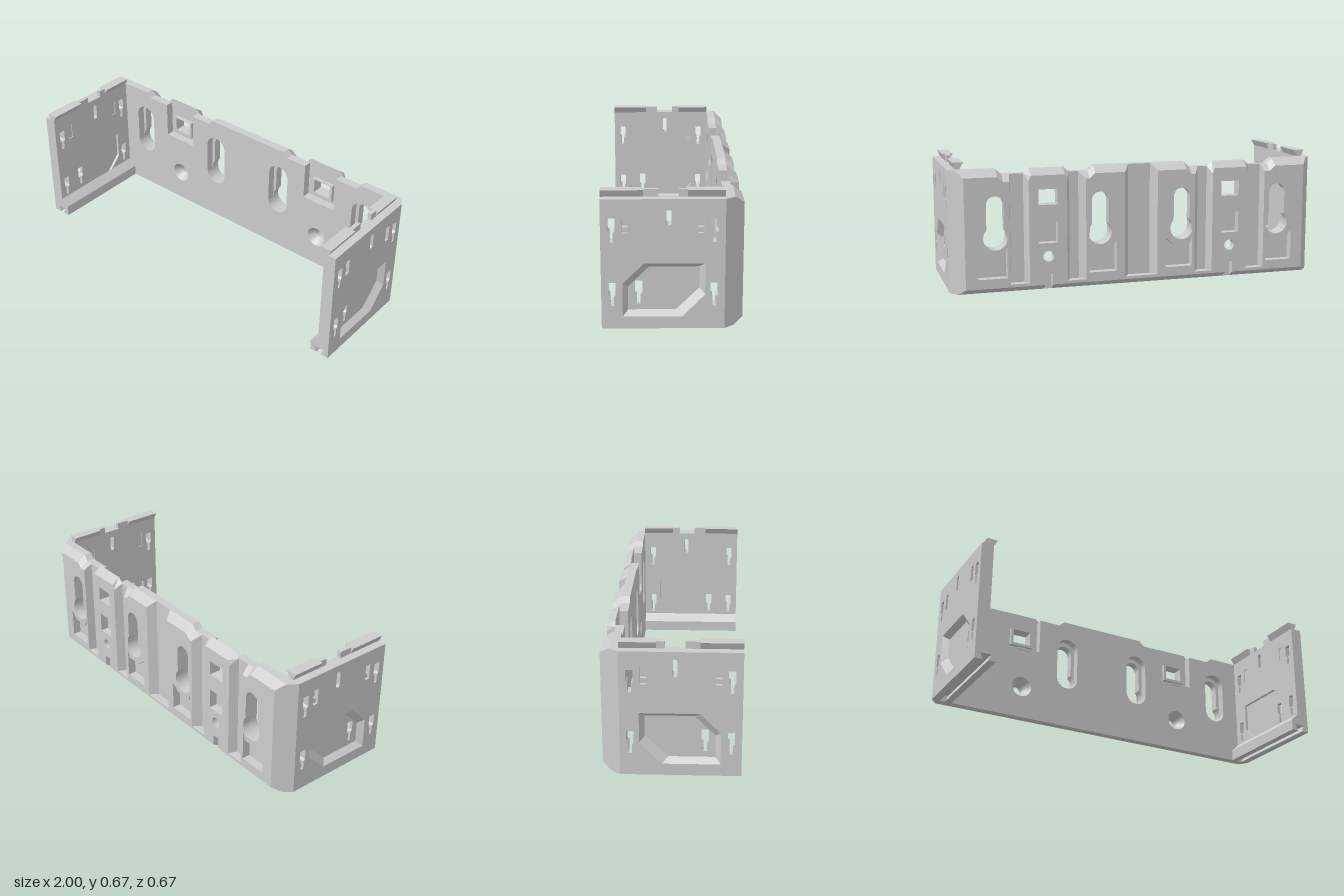
import * as THREE from 'three';

const material = new THREE.MeshStandardMaterial({ color: 0xcccccc, flatShading: true, side: THREE.DoubleSide });
const poly = (pts, Type = THREE.Shape) => new Type(pts.map(p => new THREE.Vector2(p[0], p[1])));
const hole = pts => poly(pts, THREE.Path);
const rectHole = (x0, y0, x1, y1) => hole([[x0, y0], [x1, y0], [x1, y1], [x0, y1]]);
const arc = (cx, cy, r, a0, a1, n = 14) => Array.from({ length: n + 1 }, (_, i) => {
  const a = a0 + (a1 - a0) * i / n;
  return [cx + r * Math.cos(a), cy + r * Math.sin(a)];
});
const circleHole = (x, y, r) => hole(arc(x, y, r, 0, Math.PI * 2, 28).slice(0, -1));
const capsuleHole = (c, y0, y1, r) =>
  hole([...arc(c, y1 - r, r, 0, Math.PI), ...arc(c, y0 + r, r, Math.PI, Math.PI * 2)]);

// Slot that opens into a larger circle at its lower end
function keyhole(c) {
  const r = 0.063, s = 0.045, y = 0.29, a = Math.acos(s / r);
  return hole([...arc(c, 0.46, s, 0, Math.PI), ...arc(c, y, r, Math.PI - a, Math.PI * 2 + a, 22)]);
}
// Wide slot with a narrow tail
const tailSlot = (u, y) => hole([[u - 0.0085, y], [u + 0.0085, y], [u + 0.0085, y + 0.045], [u + 0.0175, y + 0.055],
  [u + 0.0175, y + 0.115], [u - 0.0175, y + 0.115], [u - 0.0175, y + 0.055], [u - 0.0085, y + 0.045]]);

function extrude(shape, holes, depth, z) {
  shape.holes.push(...holes);
  return new THREE.ExtrudeGeometry(shape, { depth, bevelEnabled: false }).translate(0, 0, z);
}
// Applies move(v) to the vertices lying on the back face z
function moveBack(geo, z, move) {
  const p = geo.attributes.position, v = new THREE.Vector3();
  for (let i = 0; i < p.count; i++) {
    v.fromBufferAttribute(p, i);
    if (Math.abs(v.z - z) < 1e-4) { move(v); p.setXYZ(i, v.x, v.y, v.z); }
  }
  return geo;
}
// Rear pad with sloped sides and chamfered top and bottom
function pad(outline, s0, s1, holes) {
  const xs = outline.map(p => p[0]), x0 = Math.min(...xs), x1 = Math.max(...xs), Z = -0.335;
  return moveBack(extrude(poly(outline), holes, 0.045, Z), Z, v => {
    if (v.x < x0 + 1e-4) v.x += s0; else if (v.x > x1 - 1e-4) v.x -= s1;
    if (v.y > 0.6) v.y -= 0.035; else if (v.y < 0.001) v.y += 0.03;
  });
}
// Profile in side coordinates (u = -z, y), pushed along x
const sideways = (shape, holes, depth, x) => extrude(shape, holes, depth, x).rotateY(Math.PI / 2);

// Reflects a geometry across x = 0 and keeps faces outward
function mirrored(geo) {
  const g = geo.index ? geo.toNonIndexed() : geo.clone(), p = g.attributes.position;
  const a = new THREE.Vector3(), b = new THREE.Vector3(), c = new THREE.Vector3();
  for (let i = 0; i < p.count; i += 3) {
    a.fromBufferAttribute(p, i); b.fromBufferAttribute(p, i + 1); c.fromBufferAttribute(p, i + 2);
    p.setXYZ(i, -a.x, a.y, a.z); p.setXYZ(i + 1, -c.x, c.y, c.z); p.setXYZ(i + 2, -b.x, b.y, b.z);
  }
  g.computeVertexNormals();
  return g;
}

export function createModel() {
  const group = new THREE.Group();
  const both = (name, geo) => {
    [[geo, 'Left'], [mirrored(geo), 'Right']].forEach(([g, side]) => {
      const mesh = new THREE.Mesh(g, material);
      mesh.name = name + side;
      group.add(mesh);
    });
  };
  const box = (x0, x1, y0, y1, z0, z1) => new THREE.BoxGeometry(x1 - x0, y1 - y0, z1 - z0)
    .translate((x0 + x1) / 2, (y0 + y1) / 2, (z0 + z1) / 2);

  // Back plate with slot recesses, clip notch and countersunk screw hole
  const plate = extrude(poly([[0, 0], [1, 0], [1, 0.637], [0.76, 0.637], [0.73, 0.61], [0.6, 0.61], [0.6, 0.41],
    [0.4, 0.41], [0.4, 0.61], [0.28, 0.61], [0.25, 0.637], [0, 0.637]]),
  [capsuleHole(0.225, 0.227, 0.53, 0.0635), capsuleHole(0.775, 0.227, 0.53, 0.0635), circleHole(0.5, 0.18, 0.057)], 0.045, -0.29);
  both('backPlate', moveBack(plate, -0.29, v => {
    if (v.x > 0.99) v.x -= 0.035;
    const dx = v.x - 0.5, dy = v.y - 0.18;
    if (Math.hypot(dx, dy) < 0.06) { v.x = 0.5 + dx * 0.5; v.y = 0.18 + dy * 0.5; }
  }));

  // Rear pads: pocketed ones round the keyholes, a narrow one behind each clip
  const pocket = (c, l, r) => hole([[c - l, 0.08], [c + r, 0.08], [c + r, 0.24], [c + 0.045, 0.2], [c - 0.045, 0.2], [c - l, 0.24]]);
  both('innerPad', pad([[0.06, 0], [0.33, 0], [0.33, 0.61], [0.28, 0.61], [0.25, 0.637], [0.06, 0.637]],
    0.03, 0.03, [keyhole(0.225), pocket(0.225, 0.09, 0.06)]));
  both('outerPad', pad([[0.69, 0], [0.965, 0], [0.965, 0.637], [0.76, 0.637], [0.73, 0.61], [0.69, 0.61]],
    0.01, 0.035, [keyhole(0.775), pocket(0.775, 0.06, 0.09)]));
  both('clipPad', pad([[0.38, 0], [0.48, 0], [0.48, 0.09], [0.52, 0.09], [0.52, 0], [0.62, 0], [0.62, 0.61], [0.59, 0.637], [0.41, 0.637], [0.38, 0.61]],
    0.02, 0.02, [rectHole(0.45, 0.45, 0.55, 0.53), rectHole(0.45, 0.25, 0.55, 0.36), circleHole(0.5, 0.18, 0.0285)]));
  [[0, 0.09], [0.3, 0.4], [0.6, 0.7]].forEach(([a, b]) =>
    both('bottomRim', pad([[a, 0], [b, 0], [b, 0.045], [a, 0.045]], 0, 0, [])));

  // Clip window frame and its small lip
  both('windowFrame', extrude(poly([[0.435, 0.435], [0.565, 0.435], [0.565, 0.535], [0.435, 0.535]]),
    [rectHole(0.45, 0.45, 0.55, 0.53)], 0.02, -0.29));
  both('clipLip', box(0.465, 0.535, 0.4, 0.412, -0.25, -0.24));

  // Side wall with mounting slots and a bevelled pocket
  const outer = [[-0.235, 0.06], [-0.045 + 0.09, 0.06], [0.152, 0.17], [0.152, 0.325], [-0.135, 0.325], [-0.235, 0.225]];
  const inner = [[-0.21, 0.085], [0.015, 0.085], [0.127, 0.195], [0.127, 0.3], [-0.11, 0.3], [-0.21, 0.2]];
  const slots = [];
  for (const u of [-0.285, 0.195]) for (const y of [0.115, 0.43]) slots.push(tailSlot(u, y));
  const latches = [-0.222, 0.13];
  both('sideWall', sideways(poly([[-0.335, 0.045], [0.245, 0.045], [0.245, 0.637], [-0.335, 0.637]]),
    [...slots, capsuleHole(-0.017, 0.51, 0.6, 0.0125), hole(outer),
      ...latches.map(u => rectHole(u - 0.015, 0.473, u + 0.015, 0.558))], 0.065, 0.935).translate(0, 0, 0));
  latches.forEach(u => {
    both('latch', box(0.945, 0.985, 0.473, 0.498, -u - 0.015, -u + 0.015));
    both('latchStep', box(0.945, 0.975, 0.503, 0.552, -u - 0.015, -u + 0.015));
    both('latchBack', box(0.94, 0.96, 0.473, 0.558, -u - 0.015, -u + 0.015));
  });
  both('pocketFloor', sideways(poly(outer), [tailSlot(-0.16, 0.115)], 0.02, 0.95));

  // Sloped rim of the pocket
  const rim = [];
  outer.forEach((o, i) => {
    const j = (i + 1) % outer.length;
    const A = [1, o[1], -o[0]], B = [1, outer[j][1], -outer[j][0]];
    const C = [0.97, inner[j][1], -inner[j][0]], D = [0.97, inner[i][1], -inner[i][0]];
    rim.push(...A, ...B, ...C, ...A, ...C, ...D);
  });
  const rimGeo = new THREE.BufferGeometry().setAttribute('position', new THREE.Float32BufferAttribute(rim, 3));
  rimGeo.computeVertexNormals();
  both('pocketRim', rimGeo);

  // Foot with a dovetail groove along the bottom of each wall
  both('foot', extrude(poly([[1, 0], [1, 0.045], [0.935, 0.045], [0.935, 0.1], [0.892, 0.06], [0.892, 0],
    [0.93, 0], [0.915, 0.035], [0.972, 0.035], [0.957, 0]]), [], 0.58, -0.245));

  // Dovetail rails on top, each with a plain narrow end
  [[0.135, 0.335], [-0.245, -0.07]].forEach(([z0, z1]) => both('rail',
    extrude(poly([[0.935, 0.637], [0.957, 0.637], [0.973, 0.672], [0.915, 0.672]]), [], z1 - z0, z0)));
  both('railEnd', box(0.935, 0.957, 0.637, 0.672, 0.065, 0.135));
  both('railEnd', box(0.935, 0.957, 0.637, 0.672, -0.07, -0.03));
  return group;
}
